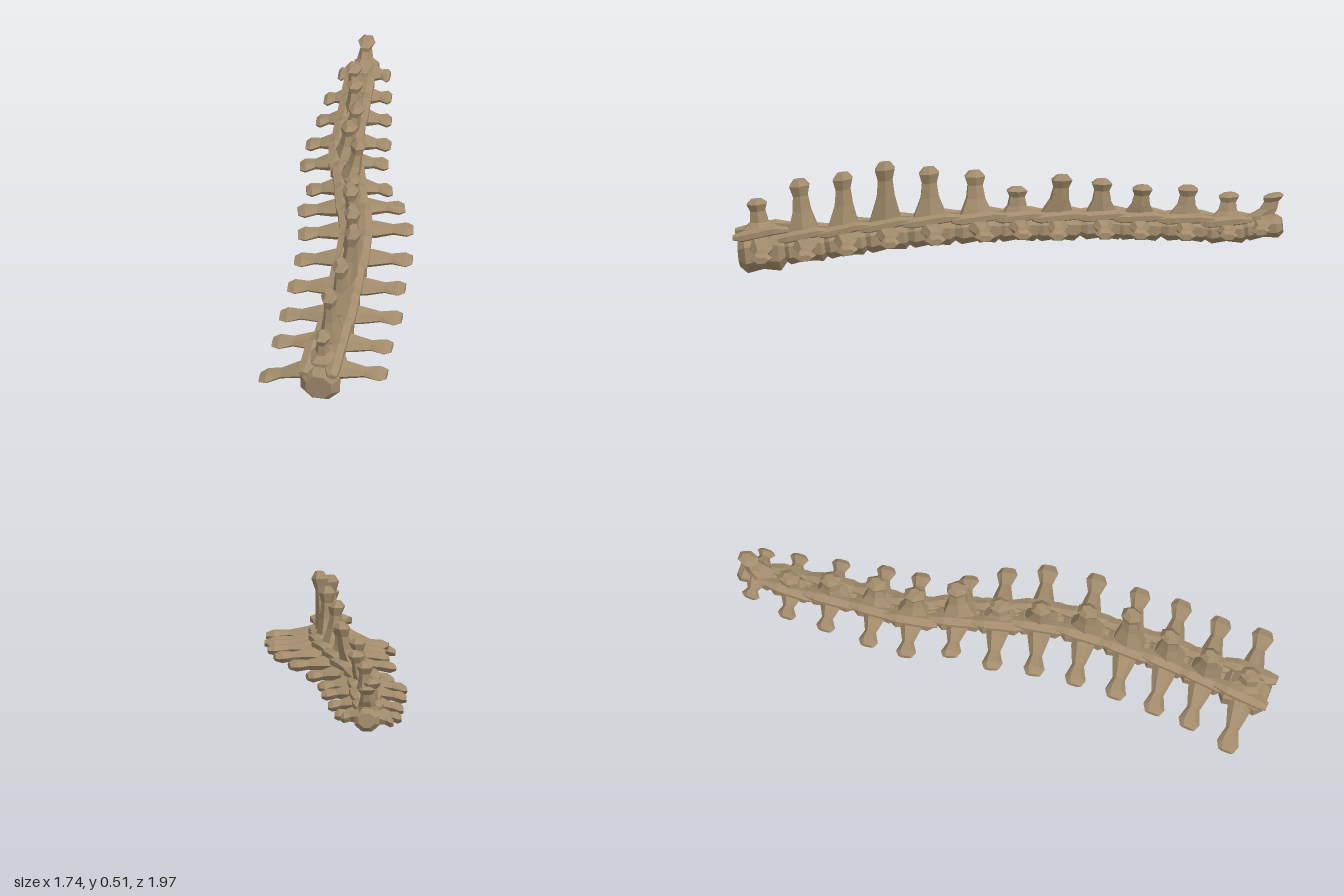
import * as THREE from 'three';

const V = (x, y, z) => new THREE.Vector3(x, y, z);
const X = V(1, 0, 0), Y = V(0, 1, 0), Z = V(0, 0, 1);

// One row per vertebra, head to tail:
// right tip x, z | left tip x, z | tip height | spine tip x, y, z | underside height
const ROWS = [
  [-0.83, 0.60, -0.47, 0.96, 0.13, -0.67, 0.34, 0.80, 0.015],
  [-0.68, 0.49, -0.34, 0.82, 0.14, -0.54, 0.43, 0.67, 0.06],
  [-0.56, 0.38, -0.20, 0.70, 0.17, -0.39, 0.465, 0.55, 0.09],
  [-0.43, 0.26, -0.08, 0.56, 0.20, -0.24, 0.52, 0.44, 0.115],
  [-0.30, 0.13, 0.06, 0.42, 0.215, -0.13, 0.49, 0.28, 0.137],
  [-0.18, -0.01, 0.19, 0.25, 0.225, -0.02, 0.465, 0.11, 0.147],
  [-0.07, -0.16, 0.26, 0.09, 0.22, 0.10, 0.39, -0.03, 0.145],
  [0.07, -0.29, 0.31, -0.07, 0.20, 0.24, 0.445, -0.17, 0.14],
  [0.16, -0.46, 0.42, -0.25, 0.195, 0.31, 0.41, -0.34, 0.135],
  [0.28, -0.58, 0.52, -0.37, 0.19, 0.44, 0.385, -0.46, 0.13],
  [0.43, -0.71, 0.64, -0.53, 0.18, 0.55, 0.375, -0.63, 0.125],
  [0.56, -0.83, 0.75, -0.68, 0.175, 0.65, 0.335, -0.78, 0.115],
  [0.71, -0.93, 0.83, -0.80, 0.19, 0.81, 0.34, -0.90, 0.135],
];

// Faceted loft through [centre, halfA, halfB] sections; A x B must point along the path
function loft(sections, A, B, sides) {
  const pos = [], idx = [], n = sections.length;
  for (const [c, a, b] of sections) {
    for (let j = 0; j < sides; j++) {
      const t = ((j + 0.5) / sides) * Math.PI * 2;
      const p = c.clone().addScaledVector(A, a * Math.cos(t)).addScaledVector(B, b * Math.sin(t));
      pos.push(p.x, p.y, p.z);
    }
  }
  for (let i = 0; i < n - 1; i++) {
    for (let j = 0; j < sides; j++) {
      const k = (j + 1) % sides, p = i * sides, q = p + sides;
      idx.push(p + j, p + k, q + k, p + j, q + k, q + j);
    }
  }
  const top = (n - 1) * sides;
  for (let j = 1; j < sides - 1; j++) idx.push(0, j + 1, j, top, top + j, top + j + 1);
  const g = new THREE.BufferGeometry();
  g.setAttribute('position', new THREE.Float32BufferAttribute(pos, 3));
  g.setIndex(idx);
  const flat = g.toNonIndexed();
  flat.computeVertexNormals();
  return flat;
}

export function createModel() {
  const bone = new THREE.MeshStandardMaterial({ color: 0xa38c6c });
  bone.name = 'bone';
  const model = new THREE.Group();
  model.name = 'backbone';

  const heights = ROWS.map((_, i) => (i === 0 ? 0.19 : 0.14 - i * 0.003));
  const centres = ROWS.map((r, i) => V((r[0] + r[2]) / 2, r[8] + heights[i] / 2, (r[1] + r[3]) / 2));

  ROWS.forEach((r, i) => {
    const last = ROWS.length - 1;
    const h = heights[i] / 2;
    const w = i === 0 ? 0.095 : 0.077 - i * 0.0015;

    // Local frame: x across, y up, z along the column toward the head
    const ahead = centres[Math.max(i - 1, 0)], behind = centres[Math.min(i + 1, last)];
    const along = ahead.clone().sub(behind);
    const half = along.length() / (i === 0 || i === last ? 2 : 4);
    along.normalize();
    const across = Y.clone().cross(along).normalize();
    const up = along.clone().cross(across);
    const frame = new THREE.Matrix4().makeBasis(across, up, along).setPosition(centres[i]);
    const inverse = frame.clone().invert();
    const local = (x, y, z) => V(x, y, z).applyMatrix4(inverse);

    const vertebra = new THREE.Group();
    vertebra.name = 'vertebra' + (i + 1);
    vertebra.applyMatrix4(frame);
    const add = (name, geometry) => {
      const mesh = new THREE.Mesh(geometry, bone);
      mesh.name = name;
      vertebra.add(mesh);
    };

    // Body, waisted between two flared ends
    add('centrum', loft([
      [V(0, 0, -half * 1.08), w * 0.65, h * 0.65],
      [V(0, 0, -half * 0.8), w, h],
      [V(0, 0.005, 0), w * 0.85, h * 0.92],
      [V(0, 0, half * 0.75), w, h],
      [V(0, 0, half * 1.1), w * 0.65, h * 0.65],
    ], X, Y, 8));

    // Arch narrowing into the upright spine with a flared tip
    const tip = local(r[5], r[6], r[7]);
    const base = V(0, h * 0.3, 0);
    const at = (t) => base.clone().lerp(tip, t);
    add('neuralSpine', loft([
      [base, half * 0.9, w * 0.95],
      [V(0, h * 1.1, 0), half * 0.85, w * 0.68],
      [at(0.5), 0.046, 0.032],
      [at(0.74), 0.037, 0.025],
      [at(0.9), 0.05, 0.038],
      [tip, 0.026, 0.018],
    ], Z, X, 6));

    // Side processes with widened ends
    const size = 1 - i * 0.015;
    for (const side of [-1, 1]) {
      const drop = side < 0 ? (i === 0 ? 0.075 : 0.02) : 0;
      const end = side < 0 ? local(r[0], r[4] - drop, r[1]) : local(r[2], r[4], r[3]);
      end.x += side * 0.025;
      const root = V(side * w * 0.3, h * 0.35, 0);
      const p = (t) => root.clone().lerp(end, t);
      add(side < 0 ? 'rightProcess' : 'leftProcess', loft([
        [root, h * 0.6, 0.062 * size],
        [p(0.3), 0.034, 0.05 * size],
        [p(0.62), 0.022, 0.029 * size],
        [p(0.87), 0.026, 0.05 * size],
        [end, 0.015, 0.034 * size],
      ], V(0, side, 0), Z, 6));

      // Overlapping joint facets reaching to the next vertebra
      if (i < last) {
        add('jointFacet', loft([
          [V(side * w * 0.55, h * 1.0, -half * 1.35), 0.022, 0.012],
          [V(side * w * 0.6, h * 1.05, -half * 0.7), 0.034, 0.022],
          [V(side * w * 0.6, h * 0.85, half * 0.8), 0.036, 0.024],
          [V(side * w * 0.68, h * 0.85, half * 1.25), 0.022, 0.012],
        ], X, Y, 6));
      }
    }
    model.add(vertebra);
  });
  return model;
}
